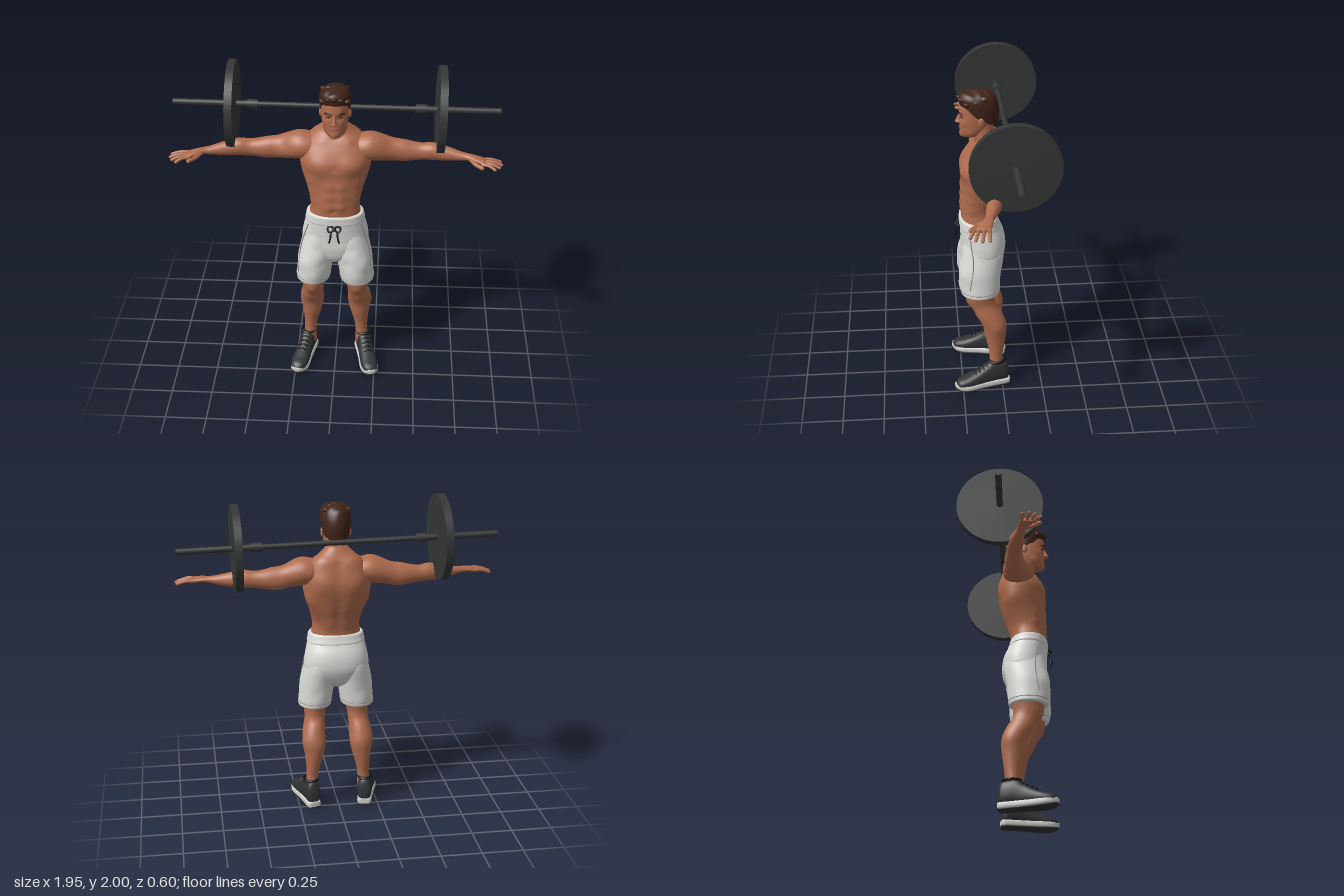
import * as THREE from 'three';

const mat = (name, color) => Object.assign(new THREE.MeshStandardMaterial({ color }), { name });

// Smooth solid through cross-sections [t, a, b, ra, rb] stacked along an axis.
// Axis y: a = x, b = z. Axis x: a = z, b = y. Axis z: a = y, b = x.
function loft(axis, sections, { sides = 32, steps = 5, power = 2 } = {}) {
  const rings = [];
  const at = i => sections[Math.max(0, Math.min(sections.length - 1, i))];
  for (let i = 0; i < sections.length - 1; i++) {
    for (let s = 0; s < steps || (s === steps && i === sections.length - 2); s++) {
      const u = s / steps;
      rings.push(at(i).map((p1, k) => {
        const p0 = at(i - 1)[k], p2 = at(i + 1)[k], p3 = at(i + 2)[k];
        return p1 + 0.5 * u * (p2 - p0 + u * (2 * p0 - 5 * p1 + 4 * p2 - p3 + u * (3 * (p1 - p2) + p3 - p0)));
      }));
    }
  }
  const pos = [], index = [];
  const put = (t, a, b) => pos.push(...(axis === 'y' ? [a, t, b] : axis === 'x' ? [t, b, a] : [b, a, t]));
  const round = v => Math.sign(v) * Math.abs(v) ** (2 / power);
  rings.forEach(([t, a, b, ra, rb], i) => {
    for (let j = 0; j < sides; j++) {
      const w = j / sides * Math.PI * 2, n = (j + 1) % sides, o = i * sides;
      put(t, a + ra * round(Math.cos(w)), b + rb * round(Math.sin(w)));
      if (i < rings.length - 1) index.push(o + j, o + sides + j, o + n, o + n, o + sides + j, o + sides + n);
    }
  });
  // End caps
  const last = (rings.length - 1) * sides, c = rings.length * sides;
  for (const r of [rings[0], rings[rings.length - 1]]) put(r[0], r[1], r[2]);
  for (let j = 0; j < sides; j++) {
    const n = (j + 1) % sides;
    index.push(c, j, n, c + 1, last + n, last + j);
  }
  const geo = new THREE.BufferGeometry();
  geo.setAttribute('position', new THREE.Float32BufferAttribute(pos, 3));
  geo.setIndex(index);
  geo.computeVertexNormals();
  return geo;
}

// Push the surface along its normals around points [x, y, z, radius, amount]
function sculpt(geo, bumps, mirrored = false) {
  const all = mirrored ? bumps.concat(bumps.filter(b => b[0]).map(([x, ...r]) => [-x, ...r])) : bumps;
  const p = geo.attributes.position, n = geo.attributes.normal;
  const v = new THREE.Vector3(), d = new THREE.Vector3(), c = new THREE.Vector3();
  for (let i = 0; i < p.count; i++) {
    v.fromBufferAttribute(p, i);
    let push = 0;
    for (const [x, y, z, r, a] of all) push += a * Math.exp(-v.distanceToSquared(c.set(x, y, z)) / (r * r));
    v.addScaledVector(d.fromBufferAttribute(n, i), push);
    p.setXYZ(i, v.x, v.y, v.z);
  }
  geo.computeVertexNormals();
  return geo;
}

function mirrorX(geo) {
  const g = geo.clone().scale(-1, 1, 1), ix = g.index.array;
  for (let i = 0; i < ix.length; i += 3) [ix[i], ix[i + 1]] = [ix[i + 1], ix[i]];
  g.computeVertexNormals();
  return g;
}

const tube = (points, r, seg = 12) =>
  new THREE.TubeGeometry(new THREE.CatmullRomCurve3(points.map(p => new THREE.Vector3(...p))), seg, r, 8);
const ball = (x, y, z, rx, ry, rz) => new THREE.SphereGeometry(1, 16, 12).scale(rx, ry, rz).translate(x, y, z);

export function createModel() {
  const model = new THREE.Group();
  model.name = 'weightlifter';
  const skin = mat('skin', 0xb06c4e), lips = mat('lips', 0x8a4c39), hair = mat('hair', 0x402419);
  const cloth = mat('short cloth', 0xd9d9d6), seam = mat('seam grey', 0x8b8b89), black = mat('black', 0x161618);
  const shoe = mat('shoe', 0x303234), sole = mat('sole white', 0xcfcfcb), iron = mat('iron', 0x353737);
  const add = (name, geo, m) => {
    const mesh = new THREE.Mesh(geo, m);
    mesh.name = name;
    model.add(mesh);
    return mesh;
  };
  const pair = (name, geo, m) => { add('left ' + name, geo, m); add('right ' + name, mirrorX(geo), m); };

  // Torso with chest, abdominal and back muscles
  const torso = loft('y', [[1.05, 0, .12, .15, .1], [1.12, 0, .133, .153, .104], [1.2, 0, .13, .146, .108],
    [1.3, 0, .108, .17, .127], [1.4, 0, .095, .2, .138], [1.47, 0, .09, .21, .138], [1.54, 0, .083, .2, .122],
    [1.6, 0, .072, .16, .095], [1.64, 0, .07, .11, .07], [1.69, 0, .08, .06, .055]], { sides: 64, steps: 8, power: 2.25 });
  const muscles = [[.065, 1.455, .23, .06, .014], [.13, 1.47, .2, .06, .014], [0, 1.45, .23, .022, -.007],
    [0, 1.17, .24, .012, -.01], [0, 1.62, .14, .025, -.012], [.08, 1.585, .15, .03, .006],
    [.1, 1.48, -.03, .07, .014], [.17, 1.36, .03, .06, .012], [.05, 1.2, .02, .04, .008], [.09, 1.6, .02, .05, .012]];
  for (const y of [1.2, 1.265, 1.33]) muscles.push([.036, y, .235, .03, .011], [.13, y + .02, .18, .03, .007]);
  for (let y = 1.14; y < 1.6; y += .045) muscles.push([0, y, -.02, .028, -.008]);
  add('torso', sculpt(torso, muscles, true), skin);
  add('neck', loft('y', [[1.56, 0, .08, .085, .075], [1.63, 0, .088, .075, .068], [1.69, 0, .1, .068, .065],
    [1.76, 0, .11, .066, .065]]), skin);

  // Arms, with shoulder, upper arm, forearm and palm in one sweep
  const arm = loft('x', [[.1, .08, 1.53, .07, .07], [.15, .08, 1.535, .092, .078], [.21, .078, 1.536, .096, .084],
    [.28, .07, 1.523, .08, .077], [.35, .06, 1.506, .06, .066], [.42, .06, 1.5, .056, .062], [.5, .064, 1.5, .047, .052],
    [.57, .07, 1.504, .047, .053], [.65, .085, 1.5, .041, .043], [.73, .106, 1.496, .03, .027], [.77, .118, 1.497, .028, .02],
    [.81, .136, 1.496, .038, .017], [.86, .155, 1.489, .043, .015], [.877, .16, 1.485, .036, .01]], { steps: 6 });
  pair('arm', sculpt(arm, [[.23, 1.59, .1, .05, .006], [.38, 1.56, .08, .05, .008], [.36, 1.44, .03, .05, .008],
    [.3, 1.55, .12, .03, -.006], [.56, 1.53, .1, .04, .006]]), skin);
  [[.12, .96, .125], [.147, .965, .165], [.172, .95, .2], [.192, .923, .228]].forEach(([z, tx, tz], i) => {
    const y = 1.487, mx = (.86 + tx) / 2, mz = (z + tz) / 2;
    pair('finger ' + (i + 1), tube([[.845, y, z], [mx, y, mz], [tx, y - .014, tz]], .0095), skin);
    pair('fingertip ' + (i + 1), ball(tx, y - .014, tz, .0095, .0095, .0095), skin);
  });
  pair('thumb', tube([[.785, 1.493, .145], [.81, 1.485, .185], [.85, 1.478, .222]], .012), skin);
  pair('thumb tip', ball(.85, 1.478, .222, .012, .012, .012), skin);

  // Head with brow, cheeks, eye sockets and jaw
  const head = loft('y', [[1.652, 0, .18, .025, .03], [1.662, 0, .175, .044, .055], [1.7, 0, .152, .068, .084],
    [1.75, 0, .14, .078, .098], [1.8, 0, .133, .082, .106], [1.86, 0, .13, .082, .106], [1.9, 0, .13, .068, .088],
    [1.925, 0, .13, .035, .045]], { sides: 48, steps: 6, power: 2.2 });
  add('head', sculpt(head, [[.033, 1.785, .235, .02, -.009], [.03, 1.806, .235, .022, .006], [.05, 1.75, .21, .022, .005],
    [0, 1.668, .23, .022, .008], [.055, 1.685, .17, .025, .006]], true), skin);
  add('nose', loft('y', [[1.737, 0, .238, .012, .012], [1.745, 0, .24, .018, .024], [1.76, 0, .237, .012, .023],
    [1.785, 0, .232, .009, .016], [1.805, 0, .23, .009, .01]], { sides: 16 }), skin);
  add('mouth', ball(0, 1.712, .234, .026, .006, .009), lips);
  pair('ear', ball(.084, 1.765, .115, .01, .03, .019), skin);
  pair('eye', ball(.033, 1.784, .225, .013, .006, .008), black);
  pair('eyebrow', tube([[.014, 1.801, .241], [.034, 1.809, .236], [.056, 1.803, .217]], .0055), hair);

  // Hair cap, low at the nape, with short tufts on top
  const cap = loft('y', [[1.79, 0, .125, .086, .112], [1.85, 0, .125, .092, .12], [1.89, 0, .127, .087, .112],
    [1.92, 0, .128, .066, .087], [1.936, 0, .13, .025, .035]], { sides: 48, steps: 6 });
  const cp = cap.attributes.position;
  for (let i = 0; i < cp.count; i++) {
    const y = cp.getY(i), z = cp.getZ(i);
    cp.setY(i, y + .6 * (z - .13) * Math.min(1, (1.94 - y) / .15) + .003 * Math.sin(60 * cp.getX(i) + 90 * z));
  }
  cap.computeVertexNormals();
  add('hair cap', cap, hair);
  for (let row = 0; row < 3; row++) for (let i = -2; i <= 2; i++) {
    const x = i * .031, z = .228 - row * .045 - i * i * .009;
    const tuft = add('hair tuft', ball(0, 0, 0, .022, .015, .03), hair);
    tuft.position.set(x, 1.892 + row * .018 - i * i * .006, z);
    tuft.rotation.set(-.4 + row * .2, i * .4 + row, i * .25);
  }

  // Shorts
  add('shorts seat', loft('y', [[.79, 0, .12, .04, .07], [.83, 0, .118, .12, .11], [.9, 0, .11, .195, .134],
    [.96, 0, .107, .2, .137], [1.02, 0, .113, .19, .132], [1.08, 0, .128, .176, .119], [1.125, 0, .136, .165, .111]],
    { sides: 48, power: 2.3 }), cloth);
  add('waistband', loft('y', [[1.075, 0, .128, .174, .118], [1.082, 0, .129, .18, .123], [1.105, 0, .133, .175, .119],
    [1.128, 0, .136, .17, .115], [1.134, 0, .136, .16, .106]], { sides: 48, power: 2.3 }), cloth);
  const leg = loft('y', [[.66, .134, .133, .098, .112], [.668, .134, .133, .104, .118], [.74, .126, .132, .106, .127],
    [.82, .116, .13, .11, .131], [.92, .1, .115, .104, .13], [1, .09, .112, .095, .115]], { sides: 40 });
  pair('shorts leg', sculpt(leg, [[.13, .72, .25, .04, .007], [.07, .8, .25, .03, -.008], [.18, .8, .24, .04, .006],
    [.1, .9, .24, .03, -.006], [.13, .76, 0, .04, -.006]]), cloth);
  const hem = [];
  for (let i = 0; i <= 24; i++) {
    const w = i / 24 * Math.PI * 2;
    hem.push([.133 + .105 * Math.cos(w), .685, .133 + .12 * Math.sin(w)]);
  }
  pair('hem stitch', tube(hem, .0022, 48), seam);
  pair('pocket stitch', tube([[.158, 1.06, .192], [.177, 1, .187], [.2, .92, .177], [.213, .84, .18], [.222, .72, .2]], .003, 24), seam);

  // Drawstring
  pair('drawstring end', tube([[0, 1.065, .252], [.018, 1.045, .268], [.022, 1.01, .272], [.03, .975, .268]], .0055), black);
  pair('drawstring loop', tube([[0, 1.063, .254], [.02, 1.085, .262], [.038, 1.075, .262], [.03, 1.05, .27], [0, 1.06, .264]], .0055, 20), black);
  add('drawstring knot', ball(0, 1.062, .26, .011, .011, .011), black);

  // Legs
  const shin = loft('y', [[.1, .165, .042, .04, .045], [.2, .163, .04, .037, .041], [.27, .158, .038, .044, .05],
    [.35, .151, .042, .059, .065], [.43, .15, .05, .072, .072], [.5, .147, .078, .07, .083], [.57, .138, .112, .064, .084],
    [.62, .135, .13, .068, .09], [.7, .13, .13, .085, .1], [.78, .125, .13, .088, .1]], { steps: 6 });
  pair('leg', sculpt(shin, [[.138, .59, .2, .035, .009], [.115, .42, 0, .05, .007], [.185, .44, .01, .05, .006],
    [.138, .545, .17, .025, -.005], [.1, .64, .17, .03, .006], [.138, .58, .03, .03, -.006]]), skin);

  // Shoes, toes turned out
  const place = g => g.rotateY(.235).translate(.167, 0, 0);
  pair('shoe upper', place(loft('z', [[-.04, .08, 0, .04, .02], [-.022, .098, 0, .076, .042], [.03, .104, 0, .08, .047],
    [.07, .1, 0, .084, .046], [.11, .084, 0, .07, .046], [.17, .066, 0, .052, .05], [.23, .053, 0, .04, .053],
    [.28, .045, 0, .032, .044], [.302, .04, 0, .016, .02]], { power: 2.3 })), shoe);
  const solePart = (y, ry, s) => place(loft('z', [[-.045, y + .004, 0, ry * .7, .022], [-.03, y, 0, ry, .043], [.05, y, 0, ry, .046],
    [.13, y, 0, ry, .05], [.22, y, 0, ry, .058], [.275, y + .004, 0, ry * .9, .048], [.308, y + .012, 0, ry * .6, .018]]
    .map(([z, a, b, ra, rb]) => [z, a, b, ra, rb * s]), { power: 3.5 }));
  pair('midsole', solePart(.028, .023, 1), sole);
  pair('outsole', solePart(.008, .008, .95), shoe);
  pair('shoe collar', place(new THREE.TorusGeometry(.042, .009, 8, 24).rotateX(Math.PI / 2).scale(1, 1, 1.2).translate(0, .178, .036)), black);
  for (let i = 0; i < 4; i++) {
    const z = .1 + i * .026, y = .158 - i * .0135;
    pair('lace ' + (i + 1), place(tube([[-.028, y - .014, z], [0, y + .004, z + .004], [.028, y - .014, z]], .005)), black);
  }

  // Barbell, resting slightly tilted behind the neck
  const barbell = new THREE.Group();
  barbell.name = 'barbell';
  barbell.position.set(0, 1.7325, -.028);
  barbell.rotation.set(0, .0183, -.0183);
  const rod = (name, x, r, len) => {
    const mesh = new THREE.Mesh(new THREE.CylinderGeometry(r, r, len, 48).rotateZ(Math.PI / 2), iron);
    mesh.name = name;
    mesh.position.x = x;
    barbell.add(mesh);
  };
  rod('bar', 0, .016, 1.3);
  for (const s of [-1, 1]) {
    rod('bar sleeve', s * .725, .019, .47);
    rod('collar', s * .49, .028, .055);
    rod('collar ring', s * .525, .023, .02);
    rod('weight plate', s * .611, .257, .045);
  }
  model.add(barbell);
  return model;
}
